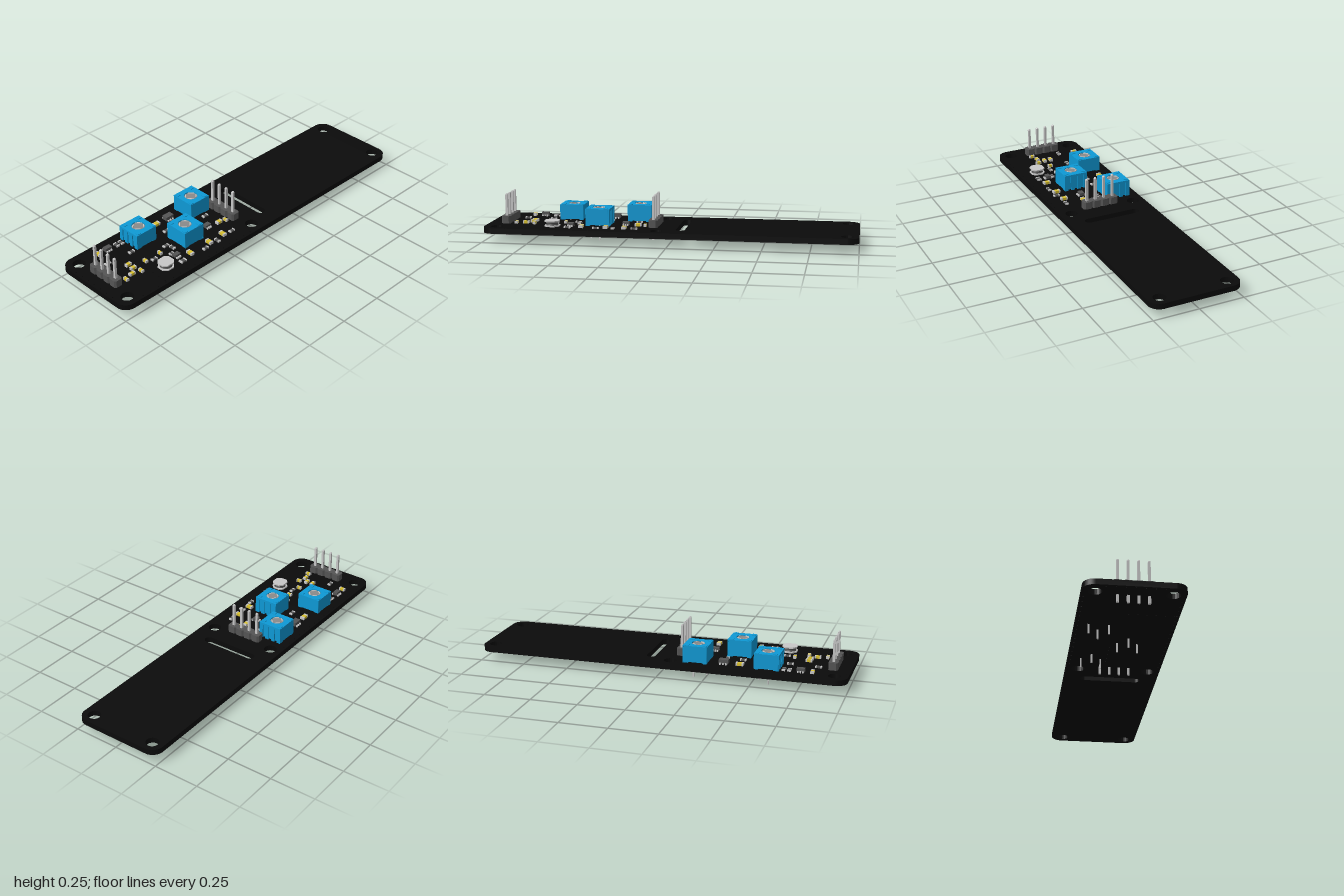
import * as THREE from 'three';

const mat = (name, color) => {
  const m = new THREE.MeshStandardMaterial({ color });
  m.name = name;
  return m;
};

export function createModel() {
  const black = mat('board black', 0x0b0b0b);
  const blue = mat('trimmer blue', 0x0e9ad6);
  const metal = mat('metal', 0xc8c8c8);
  const plastic = mat('dark grey plastic', 0x555555);
  const gold = mat('capacitor yellow', 0xd8c030);
  const slotGrey = mat('dial grey', 0x8a8a8a);
  const TOP = 0.08;

  const model = new THREE.Group();
  model.name = 'sensorBoard';

  const add = (parent, name, geo, material, x = 0, y = 0, z = 0) => {
    const m = new THREE.Mesh(geo, material);
    m.name = name;
    m.position.set(x, y, z);
    parent.add(m);
    return m;
  };
  // Box given by its centre in plan and its bottom and top heights
  const box = (parent, name, material, x, z, w, d, y0, y1) =>
    add(parent, name, new THREE.BoxGeometry(w, y1 - y0, d), material, x, (y0 + y1) / 2, z);
  const group = (name, x, y, z) => {
    const g = new THREE.Group();
    g.name = name;
    g.position.set(x, y, z);
    model.add(g);
    return g;
  };
  // Plan outline (x, -z) extruded upwards
  const slab = (shape, depth, curveSegments = 8) =>
    new THREE.ExtrudeGeometry(shape, { depth, bevelEnabled: false, curveSegments }).rotateX(-Math.PI / 2);
  const roundRect = (P, w, h, r, cx = 0, cy = 0) => {
    const p = new P();
    const a = w / 2 - r, b = h / 2 - r;
    p.absarc(cx + a, cy + b, r, 0, Math.PI / 2);
    p.absarc(cx - a, cy + b, r, Math.PI / 2, Math.PI);
    p.absarc(cx - a, cy - b, r, Math.PI, Math.PI * 1.5);
    p.absarc(cx + a, cy - b, r, Math.PI * 1.5, Math.PI * 2);
    p.closePath();
    return p;
  };
  const chamferRect = (w, h, c) => {
    const a = w / 2, b = h / 2;
    return new THREE.Shape([[a, c - b], [a, b - c], [a - c, b], [c - a, b], [-a, b - c], [-a, c - b], [c - a, -b], [a - c, -b]]
      .map(([x, y]) => new THREE.Vector2(x, y)));
  };

  // Board with mounting holes, break-off slot and tiny vias
  const outline = roundRect(THREE.Shape, 0.5, 2, 0.06);
  for (const z of [-0.94, 0.06, 0.93]) for (const x of [-0.186, 0.186]) {
    outline.holes.push(new THREE.Path().absarc(x, -z, 0.034, 0, Math.PI * 2, true));
  }
  outline.holes.push(roundRect(THREE.Path, 0.32, 0.048, 0.0238, 0, 0.06));
  const via = (x, z) => {
    const r = 0.003;
    outline.holes.push(new THREE.Path([[-r, -r], [-r, r], [r, r], [r, -r]]
      .map(([a, b]) => new THREE.Vector2(x + a, -z + b))));
  };
  for (let i = 0; i < 16; i++) for (const s of [-1, 1]) via(s * 0.236, 0.12 + i * 0.05);
  for (let i = 0; i < 7; i++) via(-0.14 + i * 0.047, 0.985);
  for (let i = 0; i < 6; i++) via(0.0 + i * 0.045, 0.715);
  for (let i = 0; i < 5; i++) via(-0.05, 0.16 + i * 0.045);
  add(model, 'board', slab(outline, 0.03, 10), black, 0, 0.05, 0);

  // Pin headers
  const pinHeader = (name, x, z, top) => {
    const g = group(name, x, 0, z);
    for (let i = 0; i < 4; i++) {
      const px = (i - 1.5) * 0.0508;
      add(g, 'headerBlock', slab(chamferRect(0.0508, 0.05, 0.009), 0.04), plastic, px, TOP, 0);
      box(g, 'pin', metal, px, 0, 0.013, 0.013, 0.01, top - 0.006);
      const tip = add(g, 'pinTip', new THREE.CylinderGeometry(0.005, 0.0092, 0.006, 4).rotateY(Math.PI / 4), metal, px, top - 0.003, 0);
      tip.material = metal;
    }
  };
  pinHeader('rearHeader', 0.003, 0.093, 0.25);
  pinHeader('frontHeader', -0.002, 0.907, 0.242);

  // Trimmer potentiometers, ribbed on the local +z side
  const trimmer = (x, z, top, turn) => {
    const g = group('trimmer', x, 0, z);
    g.rotation.y = turn;
    const dialR = 0.036, yTop = top - 0.003;
    const body = roundRect(THREE.Shape, 0.136, 0.126, 0.002);
    body.holes.push(new THREE.Path().absarc(0, 0, dialR, 0, Math.PI * 2, true));
    add(g, 'body', slab(body, yTop - TOP - 0.005, 12), blue, 0, TOP + 0.005, 0);
    add(g, 'dialBase', new THREE.CylinderGeometry(dialR, dialR, 0.02, 24), slotGrey, 0, yTop - 0.016, 0);
    // Four dial quarters leave a cross-shaped slot
    for (let q = 0; q < 4; q++) {
      const s = new THREE.Shape();
      s.moveTo(0.005, 0.005);
      s.absarc(0, 0, 0.031, 0.17, Math.PI / 2 - 0.17, false);
      s.closePath();
      add(g, 'dialQuarter', slab(s, 0.006, 6), metal, 0, yTop - 0.006, 0).rotation.y = q * Math.PI / 2;
    }
    for (const sx of [-1, 1]) {
      for (const sz of [-1, 1]) {
        box(g, 'foot', blue, sx * 0.056, sz * 0.05, 0.022, 0.022, TOP, TOP + 0.005);
        box(g, 'topPad', blue, sx * 0.052, sz * 0.048, 0.024, 0.02, yTop, top);
      }
    }
    // Vertical ribs and a lip above them
    for (const [rx, w] of [[-0.057, 0.022], [-0.019, 0.022], [0.019, 0.022], [0.057, 0.022]]) {
      box(g, 'rib', blue, rx, 0.0655, w, 0.007, TOP, yTop - 0.009);
    }
    box(g, 'lip', blue, 0, 0.0655, 0.136, 0.007, yTop - 0.012, yTop);
    for (const [lx, lz] of [[-0.051, 0.013], [0, -0.046], [0.051, 0.013]]) {
      box(g, 'leg', metal, lx, lz, 0.009, 0.007, 0, TOP + 0.01);
    }
  };
  trimmer(-0.132, 0.2, 0.176, Math.PI);
  trimmer(0.034, 0.4, 0.176, Math.PI);
  trimmer(-0.132, 0.575, 0.168, 0);

  // Spool-shaped inductor
  const coil = group('inductor', 0.143, TOP, 0.635);
  add(coil, 'coilBase', slab(chamferRect(0.078, 0.078, 0.02), 0.007), metal, 0, 0.002, 0);
  add(coil, 'winding', new THREE.LatheGeometry([[0.036, 0.007], [0.03, 0.012], [0.03, 0.022], [0.036, 0.028]]
    .map(([r, y]) => new THREE.Vector2(r, y)), 20), plastic);
  add(coil, 'coilTop', slab(chamferRect(0.074, 0.078, 0.018), 0.008), metal, 0, 0.027, 0);

  // Two-terminal chips: x, z, length, width, runs along z
  const chip = (name, material, height, [x, z, l, w, alongZ]) => {
    const g = group(name, x, 0, z);
    box(g, 'chipBody', material, 0, 0, l * 0.6, w, TOP, TOP + height);
    for (const s of [-1, 1]) box(g, 'terminal', metal, s * l * 0.39, 0, l * 0.22, w + 0.001, TOP, TOP + height + 0.001);
    if (alongZ) g.rotation.y = Math.PI / 2;
  };
  const capacitors = [
    [0.06, 0.18, 0.036, 0.022, 1], [0.07, 0.14, 0.028, 0.014, 0], [0.15, 0.24, 0.04, 0.022, 0],
    [0.152, 0.34, 0.04, 0.022, 0], [0.152, 0.474, 0.04, 0.022, 0], [-0.16, 0.43, 0.042, 0.024, 1],
    [0.042, 0.585, 0.028, 0.014, 0], [0.04, 0.682, 0.028, 0.016, 0], [-0.172, 0.815, 0.034, 0.018, 0],
    [0.002, 0.765, 0.034, 0.018, 1], [0.04, 0.765, 0.034, 0.018, 1], [0.085, 0.75, 0.03, 0.015, 0],
    [0.085, 0.85, 0.03, 0.015, 0], [0.072, 0.8, 0.034, 0.018, 1]];
  const resistors = [
    [-0.035, 0.19, 0.034, 0.017, 1], [0.162, 0.185, 0.034, 0.017, 1], [-0.082, 0.345, 0.034, 0.018, 0],
    [-0.08, 0.43, 0.034, 0.018, 1], [0.176, 0.39, 0.034, 0.017, 1], [0.17, 0.298, 0.034, 0.017, 0],
    [0.05, 0.505, 0.034, 0.017, 0], [0.016, 0.52, 0.034, 0.017, 1], [0.058, 0.638, 0.034, 0.017, 1],
    [-0.07, 0.68, 0.034, 0.018, 1], [-0.17, 0.665, 0.034, 0.018, 0], [-0.17, 0.695, 0.034, 0.018, 0],
    [-0.08, 0.83, 0.034, 0.018, 1], [0.085, 0.545, 0.026, 0.014, 1], [0.172, 0.545, 0.036, 0.024, 1]];
  capacitors.forEach(c => chip('capacitor', gold, 0.014, c));
  resistors.forEach(c => chip('resistor', plastic, 0.008, c));

  // Small transistor packages with bent-out leads
  for (const [x, z, w, d, h] of [[-0.158, 0.345, 0.034, 0.05, 0.026], [0.042, 0.25, 0.026, 0.036, 0.02],
    [-0.172, 0.755, 0.026, 0.042, 0.022], [0.118, 0.54, 0.026, 0.034, 0.02]]) {
    const g = group('transistor', x, TOP, z);
    box(g, 'package', plastic, 0, 0, w, d, 0.004, h);
    for (const s of [-1, 1]) for (const o of [-0.32, 0, 0.32]) {
      box(g, 'lead', metal, s * (w / 2 + 0.004), o * d, 0.01, 0.007, 0, 0.009);
    }
  }
  return model;
}
